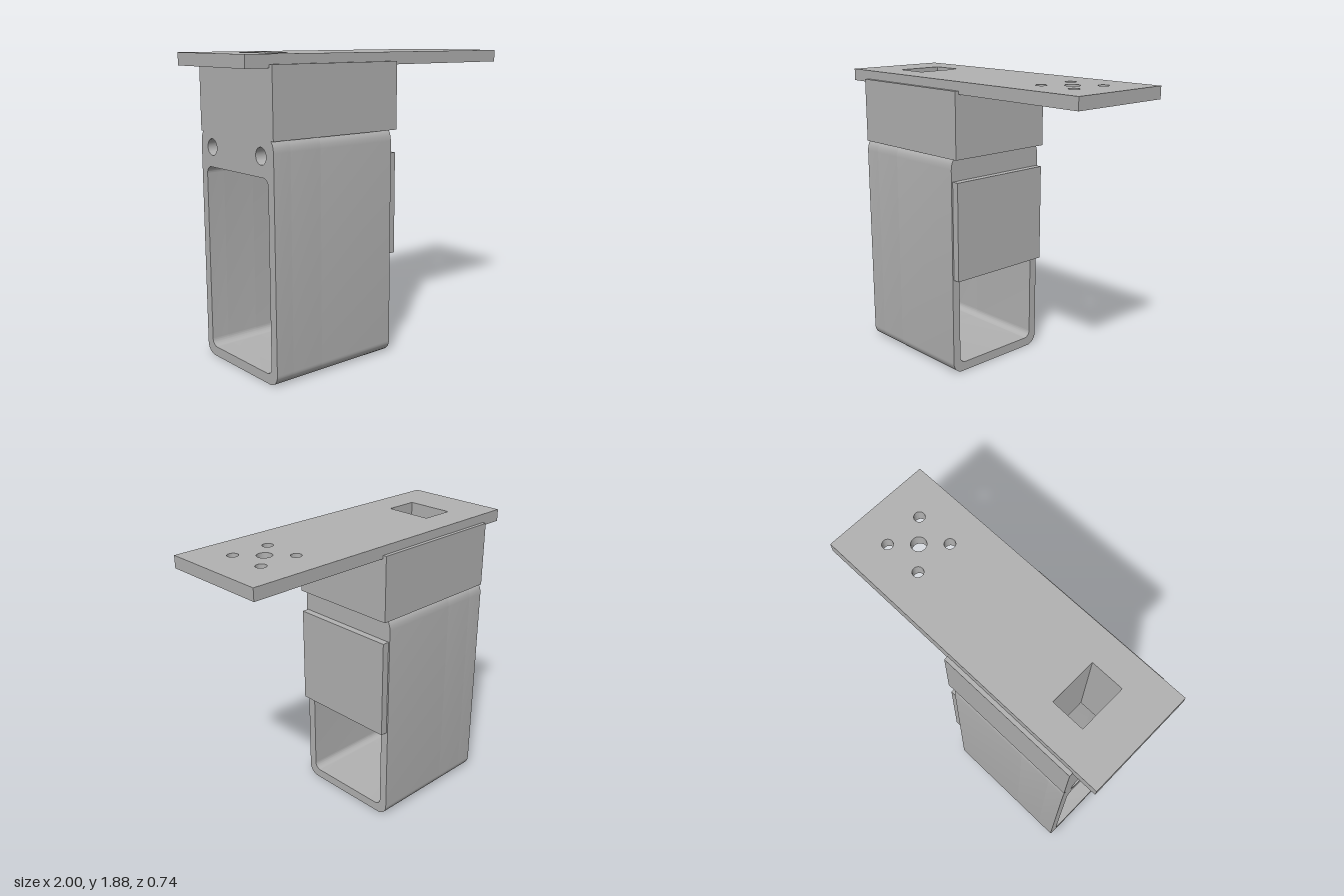
import * as THREE from 'three';
import { toCreasedNormals } from 'three/addons/utils/BufferGeometryUtils.js';

const HALF = 0.37, LIP = 0.345, SEAT = 1.8, TOP = 1.82, NECK = 1.41;
const IN = 0.315, FLOOR = 0.06, CEIL = 1.2;          // window through the body
const POCKET = { x0: -0.73, x1: -0.52, z: 0.153 };   // rectangular shaft

// Closed path through [x, y, radius] corners, rounded where a radius is given
function rounded(points, path = new THREE.Shape()) {
  const P = points.map(([x, y]) => new THREE.Vector2(x, y));
  const n = P.length;
  points.forEach(([, , r = 0], i) => {
    const c = P[i];
    const toward = (q, d) => c.clone().add(q.clone().sub(c).setLength(d));
    const prev = P[(i + n - 1) % n], next = P[(i + 1) % n];
    const a = r ? toward(prev, r) : c, b = r ? toward(next, r) : c;
    if (i === 0) path.moveTo(a.x, a.y); else path.lineTo(a.x, a.y);
    if (r) {
      const k = r * 0.4477, h1 = toward(prev, k), h2 = toward(next, k);
      path.bezierCurveTo(h1.x, h1.y, h2.x, h2.y, b.x, b.y);
    }
  });
  path.closePath();
  return path;
}

const circle = (x, y, r) => new THREE.Path().absarc(x, y, r, 0, Math.PI * 2, true);
const mirror = pts => pts.map(([x, y, r]) => [-x, y, r]).reverse();

// Right half of the outline: foot, side, softened shoulder, head and lip
const shoulder = [[HALF, 1.345], [0.367, 1.371], [0.36, 1.393], [0.347, NECK]];
const head = [[HALF, NECK], [HALF, TOP], [LIP, TOP], [LIP, SEAT]];
const outer = [[HALF, 0, 0.072], ...shoulder, ...head];

function bodySection(open, bolts) {
  let shape;
  if (open) {
    const half = [...outer, [POCKET.z, SEAT], [POCKET.z, CEIL], [IN, CEIL, 0.045], [IN, FLOOR, 0.045]];
    shape = rounded([...half, ...mirror(half)]);
  } else {
    shape = rounded([...outer, ...mirror(outer)]);
    const win = [[IN, FLOOR, 0.045], [IN, CEIL, 0.045]];
    shape.holes.push(rounded([...win, ...mirror(win)], new THREE.Path()));
  }
  if (bolts) for (const s of [-1, 1]) shape.holes.push(circle(s * 0.25, 1.32, 0.05));
  return shape;
}

export function createModel() {
  const group = new THREE.Group();
  const grey = new THREE.MeshStandardMaterial({ color: 0xb2b2b2 });
  grey.name = 'plain grey';

  const add = (name, geometry, parent = group) => {
    const mesh = new THREE.Mesh(geometry, grey);
    mesh.name = name;
    parent.add(mesh);
    return mesh;
  };
  const extrude = (shape, depth) => toCreasedNormals(
    new THREE.ExtrudeGeometry(shape, { depth, bevelEnabled: false, curveSegments: 14 }), 0.6);

  // Body, made of slices along x so the shaft and bolt holes stay open
  const body = new THREE.Group();
  body.name = 'body';
  group.add(body);
  const slice = (name, shape, x0, x1) => {
    const geometry = extrude(shape, x1 - x0);
    geometry.rotateY(Math.PI / 2).translate(x0, 0, 0);
    add(name, geometry, body);
  };
  slice('boltedEnd', bodySection(false, true), -0.845, POCKET.x0);
  slice('shaftSection', bodySection(true, true), POCKET.x0, POCKET.x1);
  slice('mainSection', bodySection(false, false), POCKET.x1, 0.025);
  slice('headOverhang', rounded([...head, ...mirror(head)]), 0.025, 0.07);

  // Cover pad on the window
  add('coverPad', new THREE.BoxGeometry(0.045, 0.63, 0.72)).position.set(0.0475, 0.955, 0);

  // Top plate with shaft opening and bolt pattern
  const plate = rounded([[-1, -LIP], [1, -LIP], [1, LIP], [-1, LIP]]);
  const { x0, x1, z } = POCKET;
  plate.holes.push(rounded([[x0, -z], [x0, z], [x1, z], [x1, -z]], new THREE.Path()));
  plate.holes.push(circle(0.648, 0, 0.046));
  for (const x of [0.525, 0.771])
    for (const y of [-0.123, 0.123]) plate.holes.push(circle(x, y, 0.033));
  const plateGeometry = extrude(plate, 0.075);
  plateGeometry.rotateX(-Math.PI / 2).translate(0, SEAT, 0);
  add('topPlate', plateGeometry);

  return group;
}
